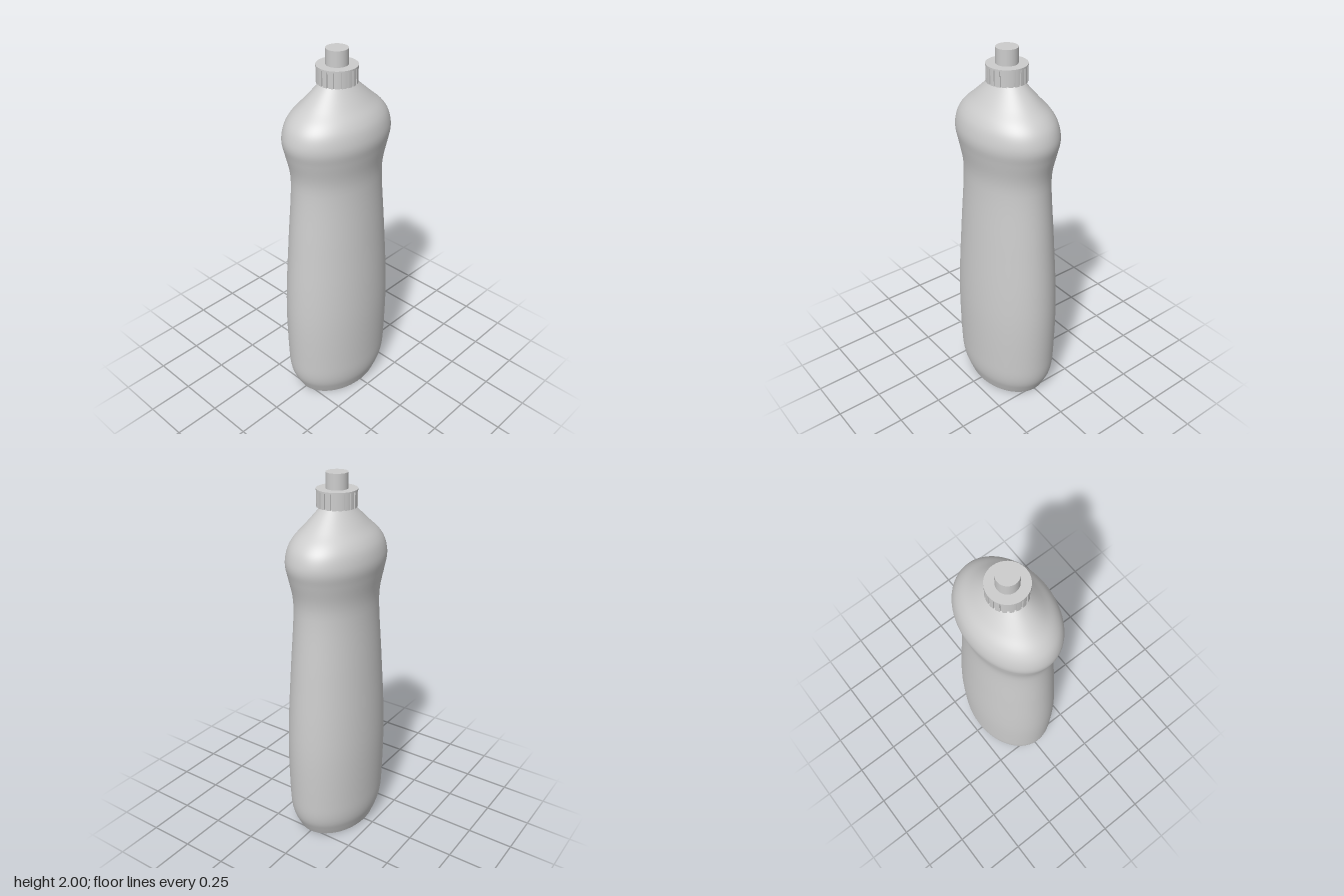
import * as THREE from 'three';

export function createModel() {
  const plastic = new THREE.MeshStandardMaterial({ color: 0xcccccc });
  plastic.name = 'greyPlastic';
  const model = new THREE.Group();
  model.name = 'squeezeBottle';

  const add = (name, geometry, y, parent = model) => {
    const mesh = new THREE.Mesh(geometry, plastic);
    mesh.name = name;
    mesh.position.y = y;
    parent.add(mesh);
    return mesh;
  };

  // Oval body: a smooth lathe profile flattened front to back
  const DEPTH = 0.725;
  const profile = [
    [0.265, 0], [0.285, 0.04], [0.305, 0.085], [0.317, 0.14], [0.323, 0.25],
    [0.327, 0.5], [0.319, 0.7], [0.296, 1], [0.271, 1.32], [0.276, 1.4],
    [0.3, 1.5], [0.314, 1.56], [0.312, 1.6], [0.295, 1.65], [0.265, 1.69],
    [0.2, 1.745], [0.098, 1.835],
  ].map(([r, y]) => new THREE.Vector3(r, y, 0));
  const points = new THREE.CatmullRomCurve3(profile).getPoints(96)
    .map((p) => new THREE.Vector2(p.x, p.y));
  const body = new THREE.LatheGeometry(points, 96);
  body.scale(1, 1, DEPTH);
  add('body', body, 0);

  // Flat underside with a crisp edge
  const base = new THREE.CircleGeometry(0.265, 96);
  base.rotateX(Math.PI / 2);
  base.scale(1, 1, DEPTH);
  add('base', base, 0);

  // Screw cap: fluted ring under a thin round lid
  const cap = new THREE.Group();
  cap.name = 'cap';
  model.add(cap);
  const RIBS = 20;
  const step = (Math.PI * 2) / RIBS;
  const outline = new THREE.Shape();
  for (let i = 0; i < RIBS; i++) {
    const a = (i + 0.15) * step;
    outline.absarc(0, 0, 0.103, a, a + step * 0.7, false);
    outline.absarc(0, 0, 0.096, a + step * 0.7, a + step, false);
  }
  const ring = new THREE.ExtrudeGeometry(outline, {
    depth: 0.08, bevelEnabled: false, curveSegments: 4,
  });
  ring.rotateX(-Math.PI / 2);
  add('capRibs', ring, 1.832, cap);
  add('capLid', new THREE.CylinderGeometry(0.104, 0.104, 0.008, 64), 1.916, cap);

  // Nozzle
  add('nozzle', new THREE.CylinderGeometry(0.056, 0.056, 0.08, 48), 1.96);

  return model;
}
